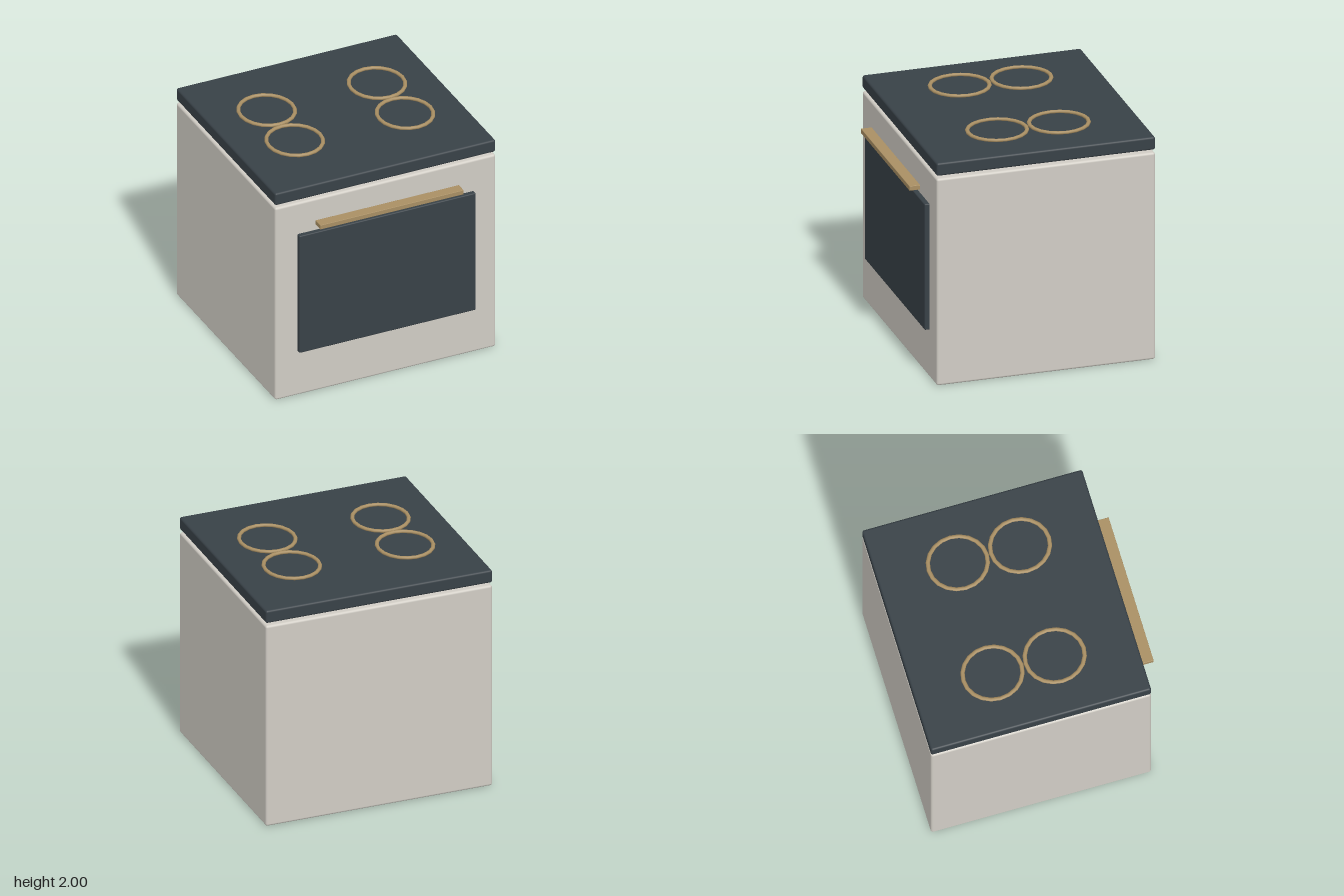
import * as THREE from 'three';
import { RoundedBoxGeometry } from 'three/addons/geometries/RoundedBoxGeometry.js';

const enamel = new THREE.MeshStandardMaterial({ color: 0xd1cdc5 });
const darkGlass = new THREE.MeshStandardMaterial({ color: 0x384147 });
const brass = new THREE.MeshStandardMaterial({ color: 0xa98f63 });

// Rounded box given by its min and max corners
function slab(name, min, max, radius, material) {
  const size = max.map((v, i) => v - min[i]);
  const mesh = new THREE.Mesh(new RoundedBoxGeometry(...size, 3, radius), material);
  mesh.position.set(...max.map((v, i) => (v + min[i]) / 2));
  mesh.name = name;
  return mesh;
}

export function createModel() {
  const stove = new THREE.Group();
  stove.name = 'stove';

  // Cabinet, with the hob plate floating just above it
  stove.add(slab('body', [-1, 0, -1], [1, 1.828, 0.877], 0.02, enamel));
  stove.add(slab('cooktop', [-1, 1.853, -1], [1, 1.967, 0.877], 0.018, darkGlass));

  // Oven door and its handle bar
  stove.add(slab('ovenDoor', [-0.8, 0.42, 0.835], [0.8, 1.534, 0.918], 0.01, darkGlass));
  stove.add(slab('ovenHandle', [-0.65, 1.604, 0.907], [0.65, 1.645, 1], 0.004, brass));

  // Four slightly oval burner rings
  const ring = new THREE.TorusGeometry(0.247, 0.018, 8, 20).rotateX(Math.PI / 2).scale(0.93, 0.78, 1);
  for (const x of [-0.5, 0.5]) {
    for (const z of [-0.33, 0.2]) {
      const burner = new THREE.Mesh(ring, brass);
      burner.name = 'burnerRing';
      burner.position.set(x, 1.986, z);
      stove.add(burner);
    }
  }
  return stove;
}
